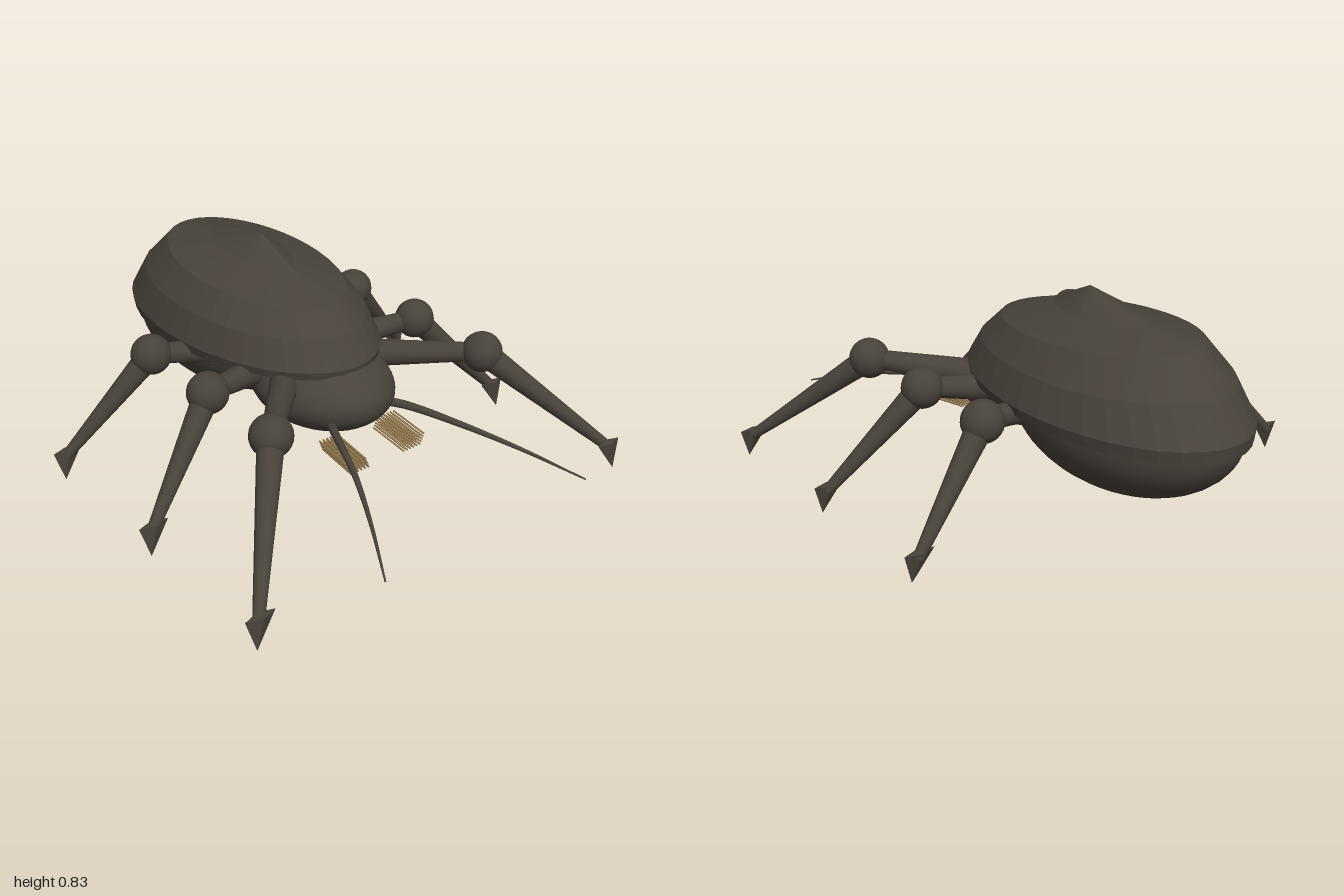
import * as THREE from 'three';

const chitin = new THREE.MeshStandardMaterial({ color: 0x48423a });
chitin.name = 'dark chitin';
const shellMat = new THREE.MeshStandardMaterial({ color: 0x48423a, side: THREE.DoubleSide });
shellMat.name = 'dark chitin shell';
const bristleMat = new THREE.MeshStandardMaterial({ color: 0x967a50 });
bristleMat.name = 'tan bristle';

const V = (x, y, z) => new THREE.Vector3(x, y, z);

function part(name, geometry, material, parent) {
  const mesh = new THREE.Mesh(geometry, material);
  mesh.name = name;
  parent.add(mesh);
  return mesh;
}

// Tapered rod between two points
function rod(name, a, b, ra, rb, parent, material = chitin, sides = 12) {
  const dir = b.clone().sub(a);
  const mesh = part(name, new THREE.CylinderGeometry(rb, ra, dir.length(), sides), material, parent);
  mesh.position.copy(a).addScaledVector(dir, 0.5);
  mesh.quaternion.setFromUnitVectors(V(0, 1, 0), dir.normalize());
  return mesh;
}

// Faceted wing case lofted through tilted ellipses:
// front y, back y, half width, centre z, half length, pinch (makes the central ridge)
function shellGeometry() {
  const rings = [
    [0.46, 0.43, 0.37, -0.35, 0.645, 1],
    [0.49, 0.48, 0.38, -0.35, 0.65, 1],
    [0.59, 0.61, 0.34, -0.34, 0.57, 1],
    [0.67, 0.73, 0.265, -0.32, 0.46, 1],
    [0.74, 0.765, 0.11, -0.34, 0.27, 1.8],
    [0.83, 0.83, 0.001, -0.27, 0.001, 1],
  ];
  const n = 40, pos = [], idx = [];
  rings.forEach(([yf, yb, rx, zc, rz, pinch], r) => {
    for (let i = 0; i < n; i++) {
      const a = (i / n) * Math.PI * 2, c = Math.cos(a), s = Math.sin(a);
      pos.push(Math.sign(s) * Math.abs(s) ** pinch * rx, yb + (yf - yb) * (c + 1) / 2, zc + c * rz);
      if (r === 0) continue;
      const j = (i + 1) % n, lo = (r - 1) * n, hi = r * n;
      idx.push(lo + i, lo + j, hi + j, lo + i, hi + j, hi + i);
    }
  });
  const g = new THREE.BufferGeometry();
  g.setAttribute('position', new THREE.Float32BufferAttribute(pos, 3));
  g.setIndex(idx);
  const flat = g.toNonIndexed();
  flat.computeVertexNormals();
  return flat;
}

// Tapered curved feeler
function feelerGeometry(s) {
  const curve = new THREE.CatmullRomCurve3([
    V(s * 0.12, 0.31, 0.29), V(s * 0.17, 0.313, 0.39), V(s * 0.26, 0.29, 0.6),
    V(s * 0.36, 0.245, 0.8), V(s * 0.47, 0.18, 1.0),
  ]);
  const steps = 24, sides = 8;
  const g = new THREE.TubeGeometry(curve, steps, 1, sides);
  const p = g.attributes.position, v = V(0, 0, 0);
  for (let i = 0; i < p.count; i++) {
    const t = Math.floor(i / (sides + 1)) / steps;
    const c = curve.getPointAt(t);
    v.fromBufferAttribute(p, i).sub(c).multiplyScalar(0.018 - 0.015 * t).add(c);
    p.setXYZ(i, v.x, v.y, v.z);
  }
  g.computeVertexNormals();
  return g;
}

function addLeg(s, label, hipZ, kneeZ, footZ, parent) {
  const leg = new THREE.Group();
  leg.name = label + (s > 0 ? 'LeftLeg' : 'RightLeg');
  parent.add(leg);
  const hip = V(s * 0.18, 0.415, hipZ), knee = V(s * 0.493, 0.455, kneeZ);
  const ankle = V(s * 0.83, 0.09, footZ);
  rod('upperLeg', hip, knee, 0.056, 0.035, leg);
  part('knee', new THREE.SphereGeometry(0.077, 24, 16), chitin, leg).position.copy(knee);
  rod('lowerLeg', knee, ankle, 0.05, 0.02, leg);
  // Flattened four-sided claw, its tip leaning outward and forward
  const claw = new THREE.ConeGeometry(0.058, 0.115, 4).toNonIndexed();
  claw.rotateX(Math.PI);
  claw.scale(1, 1, 0.35);
  const p = claw.attributes.position;
  for (let i = 0; i < p.count; i++) {
    if (p.getY(i) < 0) p.setXYZ(i, p.getX(i) + s * 0.025, p.getY(i), p.getZ(i) + 0.015);
  }
  claw.computeVertexNormals();
  part('claw', claw, chitin, leg).position.set(s * 0.822, 0.0575, footZ);
}

export function createModel() {
  const model = new THREE.Group();
  model.name = 'beetle';

  part('shell', shellGeometry(), shellMat, model);

  // Abdomen: round below, nearly flat under the shell
  const belly = new THREE.SphereGeometry(1, 40, 24);
  const bp = belly.attributes.position;
  for (let i = 0; i < bp.count; i++) if (bp.getY(i) > 0) bp.setY(i, bp.getY(i) * 0.3);
  belly.scale(0.33, 0.285, 0.5);
  belly.computeVertexNormals();
  part('abdomen', belly, chitin, model).position.set(0, 0.44, -0.467);

  const head = part('head', new THREE.SphereGeometry(1, 40, 24), chitin, model);
  head.scale.set(0.25, 0.152, 0.31);
  head.position.set(0, 0.356, 0.098);

  for (const s of [1, -1]) {
    addLeg(s, 'front', 0.11, 0.445, 0.823, model);
    addLeg(s, 'middle', -0.03, 0.073, 0.208, model);
    addLeg(s, 'back', -0.23, -0.303, -0.403, model);
    part('antenna', feelerGeometry(s), chitin, model);

    // Mouth brush: staggered rows of thin bristles
    const brush = new THREE.Group();
    brush.name = 'mouthBrush';
    model.add(brush);
    for (let row = 0; row < 5; row++) {
      for (let col = 0; col < 6; col++) {
        const x = s * (0.082 + col * 0.016 + row * 0.004), y = 0.211 + row * 0.01;
        rod('bristle', V(x, y, 0.31), V(x + s * 0.003, y - 0.023, 0.475), 0.0035, 0.0035, brush, bristleMat, 6);
      }
    }
  }
  return model;
}
